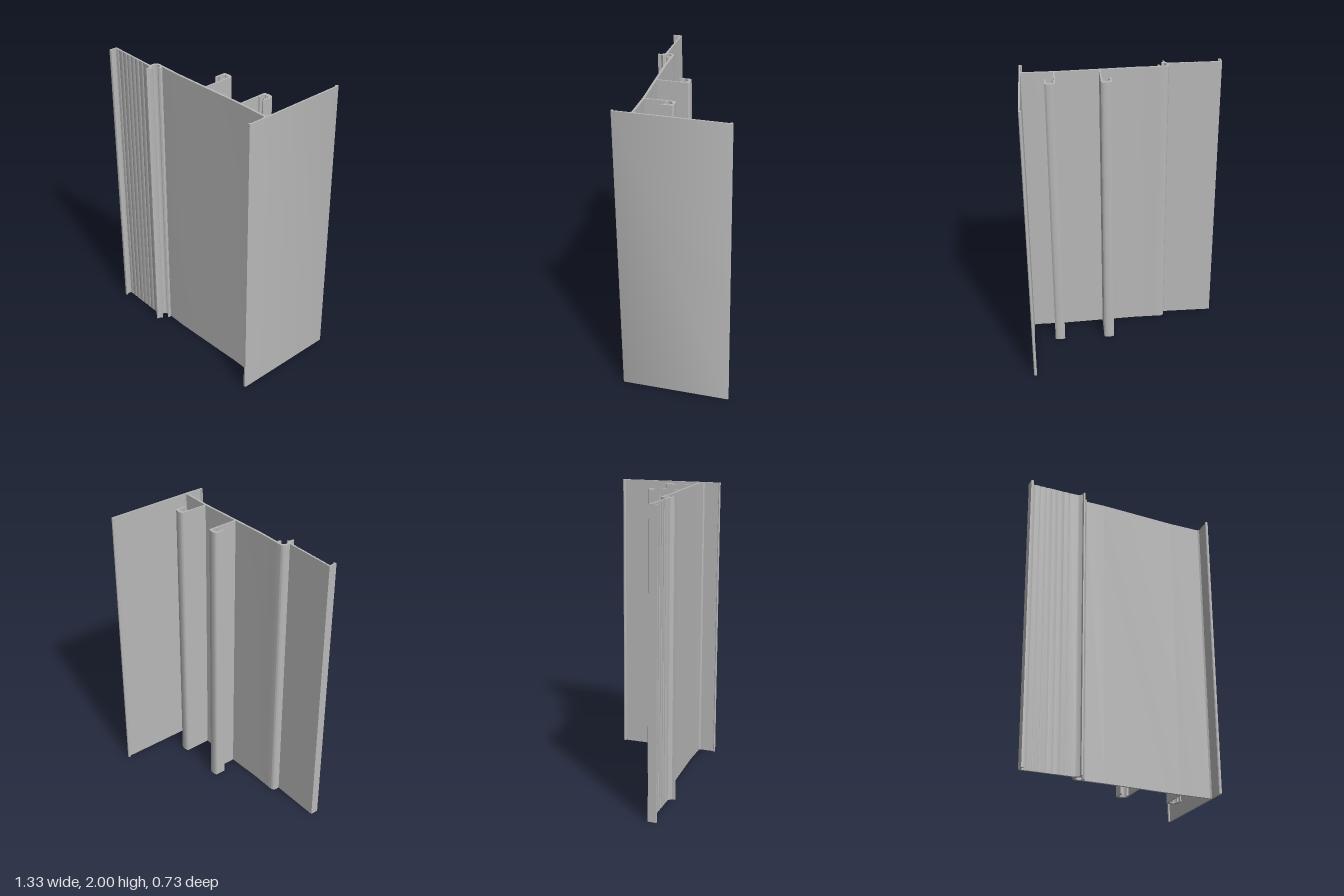
import * as THREE from 'three';
import { toCreasedNormals } from 'three/addons/utils/BufferGeometryUtils.js';

const HEIGHT = 2;

export function createModel() {
  const group = new THREE.Group();
  const metal = new THREE.MeshStandardMaterial({ color: 0xb8b8b8 });
  metal.name = 'aluminium grey';

  // Extrudes an [x, z] outline upwards from y = 0
  function rail(name, points) {
    const shape = new THREE.Shape(points.map(([x, z]) => new THREE.Vector2(x, -z)));
    const geometry = new THREE.ExtrudeGeometry(shape, { depth: HEIGHT, bevelEnabled: false });
    geometry.rotateX(-Math.PI / 2);
    const mesh = new THREE.Mesh(toCreasedNormals(geometry, 0.6), metal);
    mesh.name = name;
    group.add(mesh);
  }

  // Points on an arc in the x-z plane, angles in degrees
  function arc(cx, cz, r, from, to, steps = 10) {
    return Array.from({ length: steps + 1 }, (_, i) => {
      const a = THREE.MathUtils.degToRad(from + (to - from) * i / steps);
      return [cx + r * Math.cos(a), cz + r * Math.sin(a)];
    });
  }

  // Ribbed cover strip with shallow grooves on its front and a hooked outer edge
  const grooves = [];
  for (let i = 0; i < 7; i++) {
    const x = -0.625 + i * 0.042;
    grooves.push([x - 0.006, 0.319], [x, 0.315], [x + 0.006, 0.319]);
  }
  rail('ribbedStrip', [
    [-0.312, 0.306], [-0.665, 0.306], [-0.665, 0.362],
    [-0.657, 0.364], [-0.647, 0.361], [-0.646, 0.353], [-0.655, 0.35],
    [-0.655, 0.323], [-0.65, 0.319], ...grooves, [-0.312, 0.319],
  ]);

  // Open round channel joining the strip to the main panel
  rail('hingeChannel', [
    [-0.24, 0.253], ...arc(-0.282, 0.283, 0.03, 270, 180),
    [-0.312, 0.319], [-0.305, 0.322], [-0.288, 0.34],
    [-0.288, 0.362], [-0.278, 0.362], [-0.277, 0.34],
    [-0.265, 0.325], [-0.269, 0.318], [-0.282, 0.322],
    ...arc(-0.272, 0.293, 0.025, 120, 285),
    [-0.253, 0.276], [-0.252, 0.286], [-0.245, 0.294],
    [-0.236, 0.288], [-0.234, 0.277], [-0.24, 0.268],
  ]);

  // Gently sloping front panel
  rail('mainPanel', [
    [-0.24, 0.253], [-0.1, 0.253], [0.43, 0.226], [0.645, 0.226], [0.654, 0.217],
    [0.654, 0.25], [0.645, 0.241], [0.43, 0.241], [-0.1, 0.268], [-0.24, 0.268],
  ]);

  // Side flange with a beaded rear edge and small front lip
  rail('sideFlange', [
    [0.654, -0.345], ...arc(0.6545, -0.3545, 0.0105, 135, 360), [0.665, 0.358],
    [0.661, 0.364], [0.648, 0.364], [0.644, 0.359], [0.646, 0.353], [0.654, 0.35],
  ]);

  // Clip rails behind the panel: stem, arched head and toothed socket
  function clipRail(name, x0, side, root) {
    rail(name, [
      [0, root], [0, 0.04], [0.005, 0.034], [0.018, 0.03], [0.035, 0.028],
      [0.052, 0.03], [0.065, 0.034], [0.07, 0.04],
      [0.07, 0.112], [0.06, 0.112], [0.06, 0.096], [0.049, 0.092],
      [0.058, 0.082], [0.059, 0.072], [0.056, 0.06], [0.047, 0.051], [0.04, 0.05],
      [0.035, 0.044], [0.03, 0.05], [0.023, 0.051], [0.014, 0.06], [0.011, 0.072],
      [0.012, 0.082], [0.021, 0.092], [0.01, 0.096], [0.01, root],
    ].map(([u, z]) => [x0 + side * u, z]));
  }
  clipRail('innerClipRail', 0.149, -1, 0.246);
  clipRail('outerClipRail', 0.435, 1, 0.232);

  return group;
}
